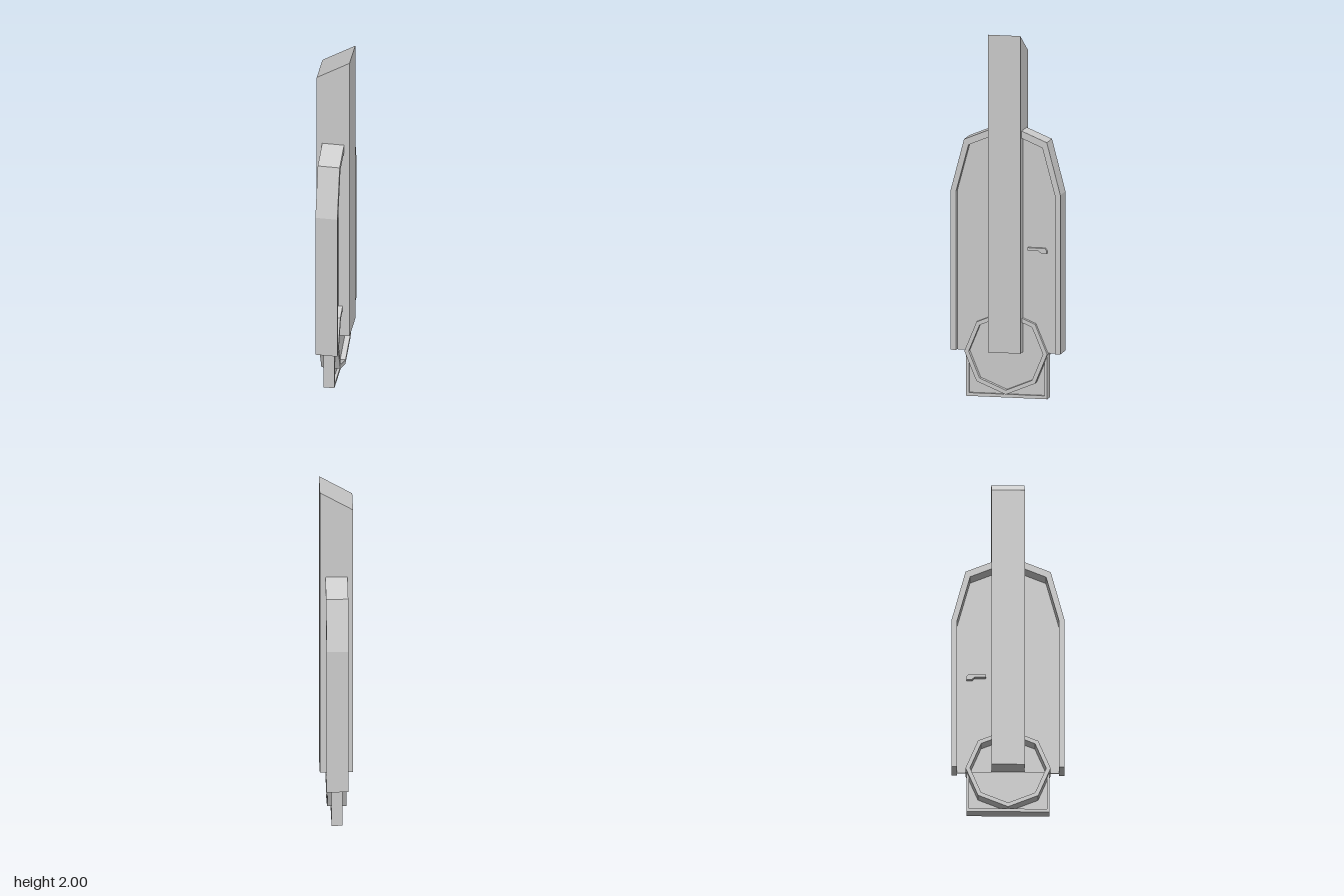
import * as THREE from 'three';

const material = new THREE.MeshStandardMaterial({ color: 0xcccccc, flatShading: true });
const toPoints = (list) => list.map(([u, v]) => new THREE.Vector2(u, v));

// Extrudes a side profile (u = -z, v = y) across x from x0 to x1.
function sideExtrude(name, outline, x0, x1, hole) {
  const shape = new THREE.Shape(toPoints(outline));
  if (hole) shape.holes.push(new THREE.Path(toPoints(hole)));
  const geometry = new THREE.ExtrudeGeometry(shape, { depth: x1 - x0, bevelEnabled: false });
  geometry.translate(0, 0, x0);
  geometry.rotateY(Math.PI / 2);
  const mesh = new THREE.Mesh(geometry, material);
  mesh.name = name;
  return mesh;
}

// Completes a right-hand run of points with its mirror image.
const mirrored = (half) => [...half, ...half.map(([u, v]) => [-u, v]).reverse()];

function octagon(radius, y) {
  return Array.from({ length: 8 }, (_, i) => {
    const a = (i * Math.PI) / 4;
    return [Math.cos(a) * radius, y + Math.sin(a) * radius];
  });
}

export function createModel() {
  const group = new THREE.Group();
  group.name = 'tower';

  // Square post with a slanted top
  const slope = new THREE.Shape(toPoints([[-0.09, 0.255], [0.09, 0.255], [0.09, 2], [-0.09, 1.89]]));
  const postGeometry = new THREE.ExtrudeGeometry(slope, { depth: 0.18, bevelEnabled: false });
  postGeometry.translate(0, 0, -0.09);
  const post = new THREE.Mesh(postGeometry, material);
  post.name = 'post';
  group.add(post);

  // Shoulder-shaped body: a rim open at the bottom and a thin recessed panel
  const outer = [[0.305, 0.255], [0.305, 1.13], [0.23, 1.415], [0.08, 1.477]];
  const inner = [[0.275, 0.255], [0.275, 1.125], [0.205, 1.385], [0.08, 1.437]];
  const rim = [...outer, ...inner.slice().reverse()];
  group.add(sideExtrude('backRim', rim, -0.06, 0.06));
  group.add(sideExtrude('frontRim', rim.map(([u, v]) => [-u, v]), -0.06, 0.06));
  group.add(sideExtrude('bodyPanel', mirrored(outer.map(([u, v]) => [u - 0.005, v - 0.002])), 0.023, 0.028));

  // Door handle: a thin bar with a thicker end
  group.add(sideExtrude('handle',
    [[0.12, 0.815], [0.18, 0.815], [0.195, 0.802], [0.225, 0.802], [0.225, 0.818], [0.215, 0.831], [0.12, 0.831]],
    0, 0.045));

  // Eight-sided ring with its panel
  group.add(sideExtrude('ring', octagon(0.23, 0.25), -0.052, 0.052, octagon(0.206, 0.25)));
  group.add(sideExtrude('ringPanel', octagon(0.22, 0.25), 0.019, 0.023));

  // Foot: a shallow U-shaped frame with its panel
  const foot = mirrored([[0.225, 0], [0.225, 0.255], [0.21, 0.255], [0.21, 0.018]]);
  group.add(sideExtrude('footFrame', foot, -0.03, 0.03));
  group.add(sideExtrude('footPanel', mirrored([[0.218, 0.01], [0.218, 0.255]]), 0.011, 0.015));

  return group;
}
